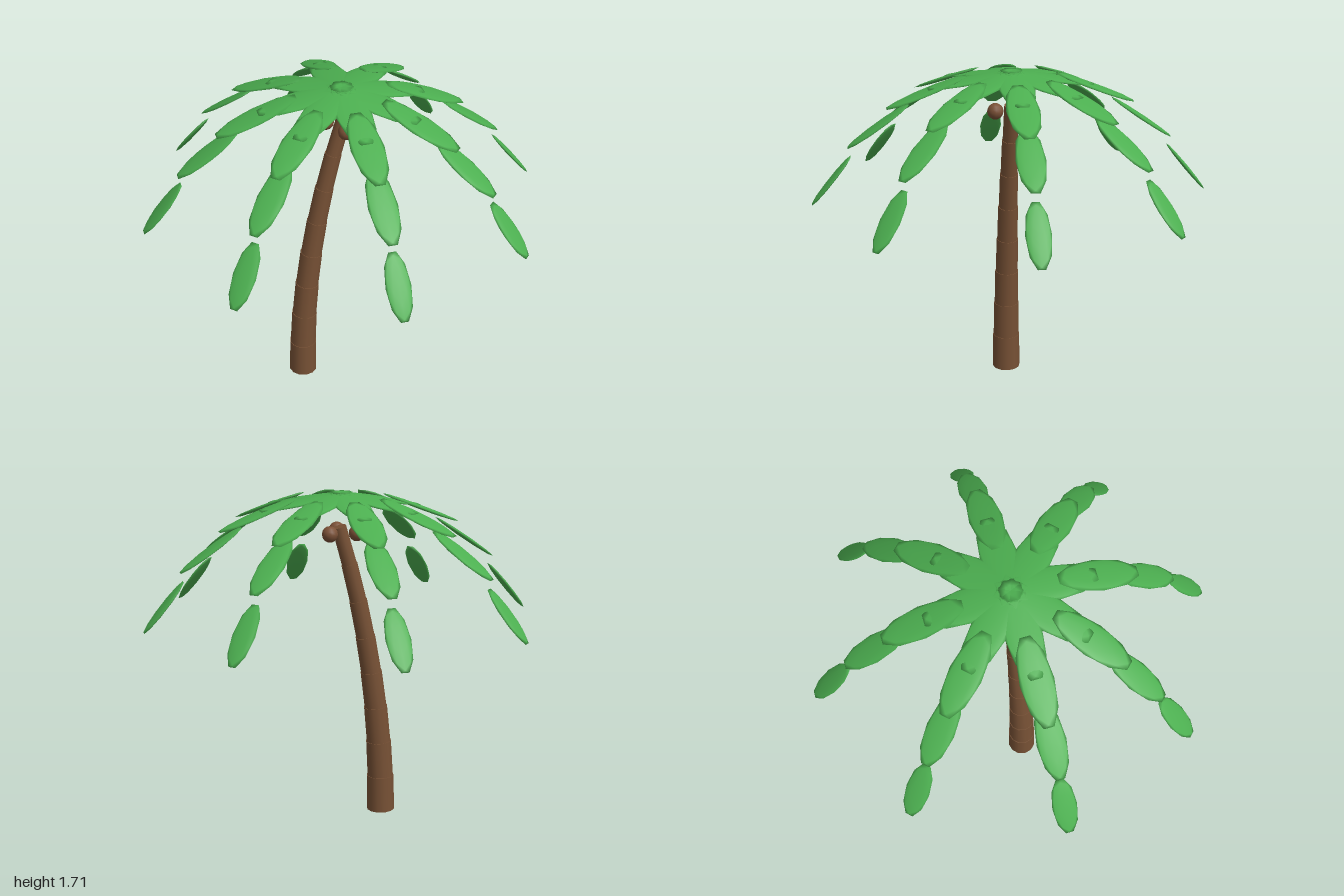
import * as THREE from 'three';

const mat = (name, color) => Object.assign(new THREE.MeshStandardMaterial({ color }), { name });

export function createModel() {
  const bark = mat('bark', 0x775135);
  const shell = mat('coconut shell', 0x7a5036);
  const leafGreen = mat('leaf green', 0x4caf50);
  const palm = new THREE.Group();
  palm.name = 'palmTree';

  const add = (parent, geometry, material, name) => {
    const mesh = new THREE.Mesh(geometry, material);
    mesh.name = name;
    parent.add(mesh);
    return mesh;
  };

  // Trunk: stacked tapering segments following a bend towards +x
  const trunk = new THREE.Group();
  trunk.name = 'trunk';
  palm.add(trunk);
  const segments = 8, height = 1.53;
  const bend = (t) => new THREE.Vector3(-0.22 + 0.23 * t * t, height * t, 0);
  const radius = (t) => 0.075 - 0.04 * t;
  const up = new THREE.Vector3(0, 1, 0);
  for (let i = 0; i < segments; i++) {
    const a = bend(i / segments), b = bend((i + 1) / segments);
    const dir = b.clone().sub(a);
    const length = dir.length() + (i ? 0.008 : 0);
    const segment = add(trunk,
      new THREE.CylinderGeometry(radius((i + 1) / segments) + 0.002, radius(i / segments) - 0.001, length, 12),
      bark, 'trunkSegment');
    segment.position.copy(a).add(b).multiplyScalar(0.5);
    if (i === 0) segment.position.y += 0.002;
    segment.quaternion.setFromUnitVectors(up, dir.normalize());
  }

  // Three coconuts in a ring under the crown
  for (let i = 0; i < 3; i++) {
    const a = Math.PI / 2 + i * Math.PI * 2 / 3;
    add(palm, new THREE.SphereGeometry(0.041, 12, 8), shell, 'coconut')
      .position.set(0.08 * Math.cos(a), 1.505, 0.08 * Math.sin(a));
  }

  // Leaflet: low-poly ball standing on a corner, giving blunt ends along z
  const ball = new THREE.IcosahedronGeometry(1, 1).rotateX(-Math.atan((1 + Math.sqrt(5)) / 2));
  // distance out, height, droop, length, width
  const leaflets = [
    [0.18, 1.668, 0.17, 0.47, 0.18],
    [0.42, 1.612, 0.37, 0.42, 0.16],
    [0.66, 1.45, 0.60, 0.37, 0.14],
    [0.9, 1.18, 0.875, 0.315, 0.12],
  ];

  // Eight drooping fronds
  for (let k = 0; k < 8; k++) {
    const frond = new THREE.Group();
    frond.name = 'frond';
    frond.rotation.y = k * Math.PI / 4;
    palm.add(frond);
    for (const [out, y, droop, length, width] of leaflets) {
      const leaf = add(frond, ball, leafGreen, 'leaflet');
      leaf.scale.set(width / 2, 0.011, length / 1.902);
      leaf.rotation.x = droop;
      leaf.position.set(0, y, out);
    }
  }
  return palm;
}
